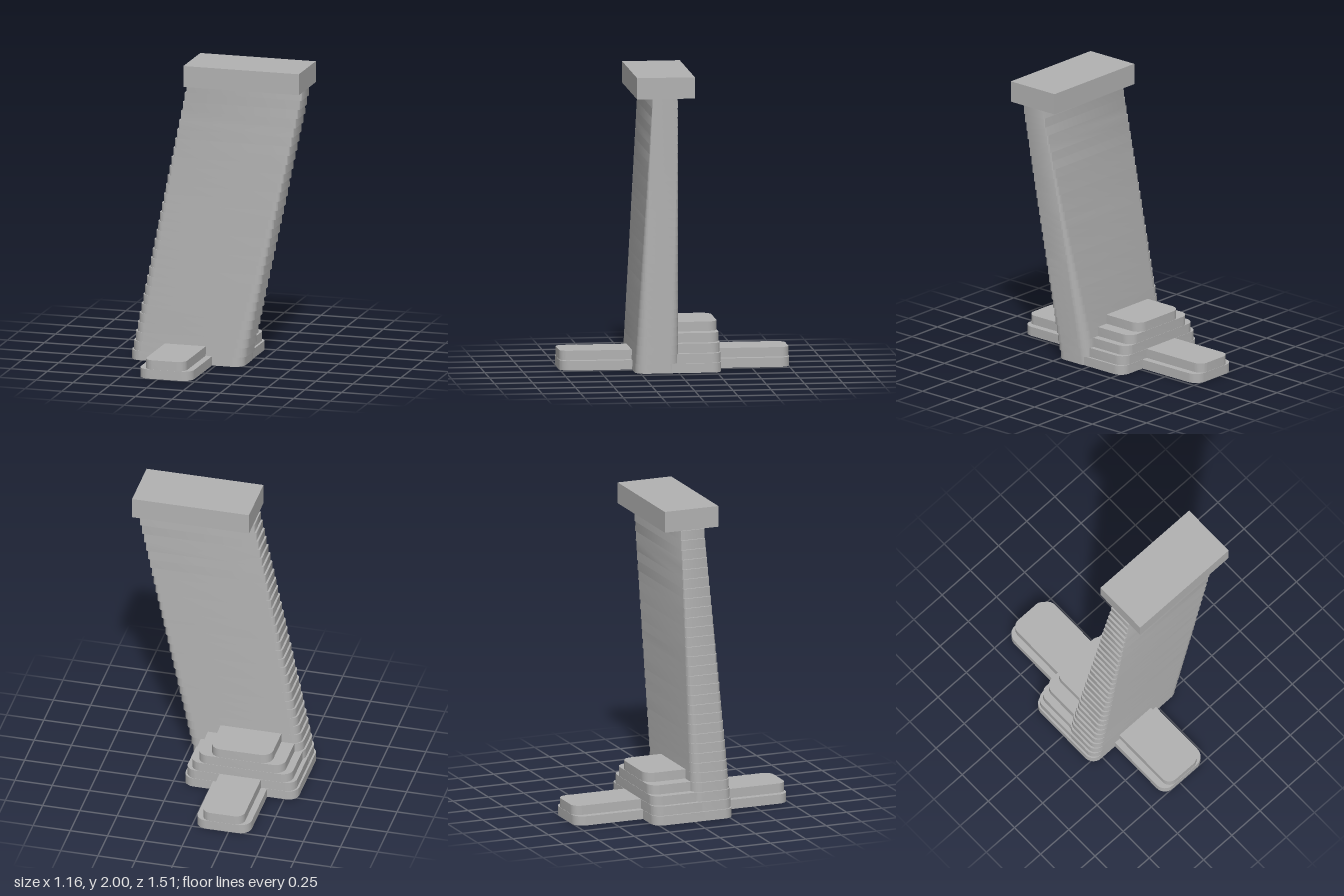
import * as THREE from 'three';
import { toCreasedNormals } from 'three/addons/utils/BufferGeometryUtils.js';

const LAYER = 0.062; // storey height
const FLOORS = 30;
const TOP = LAYER * FLOORS;

// Horizontal slab with rounded plan corners; bounds in x and z, bottom at y0
function slabGeometry(x0, x1, z0, z1, y0, height, r) {
  const s = new THREE.Shape();
  const a = -z1, b = -z0; // shape y becomes -z once laid flat
  s.moveTo(x0 + r, a);
  s.lineTo(x1 - r, a);
  s.absarc(x1 - r, a + r, r, -Math.PI / 2, 0);
  s.lineTo(x1, b - r);
  s.absarc(x1 - r, b - r, r, 0, Math.PI / 2);
  s.lineTo(x0 + r, b);
  s.absarc(x0 + r, b - r, r, Math.PI / 2, Math.PI);
  s.lineTo(x0, a + r);
  s.absarc(x0 + r, a + r, r, Math.PI, Math.PI * 1.5);
  const g = new THREE.ExtrudeGeometry(s, { depth: height, bevelEnabled: false, curveSegments: 6 });
  g.rotateX(-Math.PI / 2);
  g.translate(0, y0, 0);
  return g;
}

export function createModel() {
  const model = new THREE.Group();
  model.name = 'leaningTower';
  const concrete = new THREE.MeshStandardMaterial({ color: 0xb2b2b2 });
  concrete.name = 'concrete grey';

  const add = (geometry, name, parent) => {
    const mesh = new THREE.Mesh(toCreasedNormals(geometry, 0.6), concrete);
    mesh.name = name;
    parent.add(mesh);
  };
  const group = (name) => {
    const g = new THREE.Group();
    g.name = name;
    model.add(g);
    return g;
  };

  // Leaning tower: each storey shifts sideways while the front and back taper evenly
  const tower = group('tower');
  const zMid = 0.14, halfDepth = 0.142;
  for (let i = 0; i < FLOORS; i++) {
    const t = i / (FLOORS - 1);
    const g = slabGeometry(-0.585 + 0.37 * t, 0.183 + 0.385 * t,
      -halfDepth, halfDepth, i * LAYER, LAYER, 0.07 * (1 - t) + 0.003);
    const p = g.attributes.position;
    for (let v = 0; v < p.count; v++) {
      p.setZ(v, zMid + p.getZ(v) * (1 - 0.42 * p.getY(v) / TOP));
    }
    add(g, 'storey', tower);
  }

  // Overhanging flat cap
  const cap = new THREE.BoxGeometry(0.785, 2 - TOP, 0.378);
  cap.translate(0.187, (2 + TOP) / 2, 0.136);
  add(cap, 'cap', model);

  // Stepped block behind the tower, with the lowest step under the whole footprint
  const block = group('rearBlock');
  const steps = [[-0.585, 0.178], [-0.572, 0.163], [-0.545, 0.132], [-0.495, 0.085], [-0.408, 0]];
  steps.forEach(([x0, x1], i) => {
    add(slabGeometry(x0, x1, -0.284 + i * 0.002, i ? 0.12 : 0.28, i * LAYER, LAYER, 0.07), 'step', block);
  });

  // Long two-step plinth crossing from front to back
  const plinth = group('plinth');
  add(slabGeometry(-0.387, -0.023, -0.756, 0.752, 0, LAYER, 0.075), 'lowerPlinth', plinth);
  add(slabGeometry(-0.345, -0.067, -0.754, 0.75, LAYER, LAYER, 0.06), 'upperPlinth', plinth);

  return model;
}
